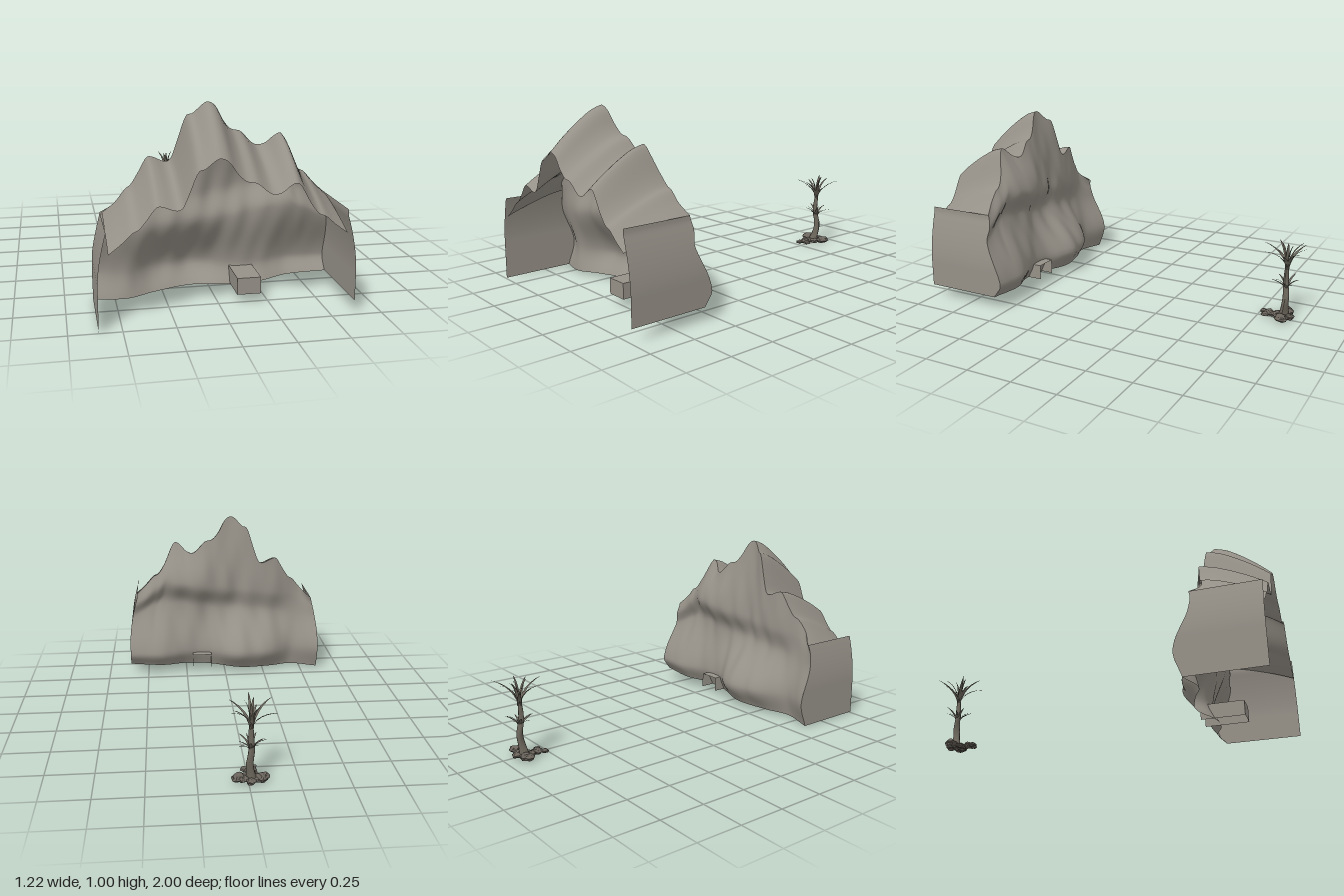
import * as THREE from 'three';

const rockMat = new THREE.MeshStandardMaterial({ color: 0x969188, side: THREE.DoubleSide });
const boulderMat = new THREE.MeshStandardMaterial({ color: 0x6a645c, flatShading: true });
const plantMat = new THREE.MeshStandardMaterial({ color: 0x6c675c, side: THREE.DoubleSide });

// Smooth curve through [x, y] stations
function spline(points) {
  return (x) => {
    const n = points.length - 1;
    if (x <= points[0][0]) return points[0][1];
    if (x >= points[n][0]) return points[n][1];
    let i = 0;
    while (points[i + 1][0] < x) i++;
    const slope = (k) => {
      const a = points[Math.max(k - 1, 0)], b = points[Math.min(k + 1, n)];
      return (b[1] - a[1]) / (b[0] - a[0]);
    };
    const [p, q] = [points[i], points[i + 1]];
    const h = q[0] - p[0], t = (x - p[0]) / h, t2 = t * t, t3 = t2 * t;
    return p[1] * (2 * t3 - 3 * t2 + 1) + slope(i) * h * (t3 - 2 * t2 + t)
      + q[1] * (3 * t2 - 2 * t3) + slope(i + 1) * h * (t3 - t2);
  };
}

// Grid surface from a rule (u, v) -> [x, y, z]
function surface(name, nu, nv, rule, mat) {
  const pos = [], idx = [];
  for (let j = 0; j <= nv; j++) for (let i = 0; i <= nu; i++) pos.push(...rule(i / nu, j / nv));
  for (let j = 0; j < nv; j++) for (let i = 0; i < nu; i++) {
    const a = j * (nu + 1) + i, b = a + 1, c = a + nu + 1, d = c + 1;
    idx.push(a, c, b, b, c, d);
  }
  const geo = new THREE.BufferGeometry();
  geo.setAttribute('position', new THREE.Float32BufferAttribute(pos, 3));
  geo.setIndex(idx);
  geo.computeVertexNormals();
  const mesh = new THREE.Mesh(geo, mat);
  mesh.name = name;
  return mesh;
}

// Skyline height along x
const skyline = spline([[-0.56, 0.47], [-0.5, 0.53], [-0.45, 0.59], [-0.42, 0.61], [-0.38, 0.67], [-0.34, 0.735],
  [-0.31, 0.735], [-0.25, 0.71], [-0.22, 0.725], [-0.19, 0.81], [-0.15, 0.93], [-0.12, 0.945], [-0.07, 0.995],
  [-0.045, 1.003], [-0.01, 0.98], [0.03, 0.91], [0.07, 0.865], [0.12, 0.85], [0.17, 0.8], [0.2, 0.78],
  [0.24, 0.79], [0.28, 0.83], [0.31, 0.843], [0.33, 0.82], [0.38, 0.71], [0.42, 0.65], [0.45, 0.635],
  [0.5, 0.58], [0.56, 0.525]]);
const ground = (x) => 0.038 + 0.05 * x + (x > 0 ? 0.005 : 0.002) * x;

// Depth of the cliff along x at the foot, low bulge, waist, high bulge and ridge
const foot = spline([[-0.61, 0.6], [-0.44, 0.64], [-0.3, 0.59], [-0.1, 0.55], [0.1, 0.61], [0.25, 0.61], [0.4, 0.56], [0.61, 0.57]]);
const low = spline([[-0.61, 0.56], [-0.5, 0.605], [-0.44, 0.62], [-0.38, 0.59], [-0.3, 0.53], [-0.2, 0.51],
  [-0.1, 0.485], [0, 0.515], [0.08, 0.57], [0.15, 0.58], [0.25, 0.57], [0.33, 0.54], [0.41, 0.515], [0.61, 0.525]]);
const waist = spline([[-0.61, 0.63], [-0.45, 0.67], [-0.2, 0.65], [0, 0.66], [0.2, 0.635], [0.4, 0.65], [0.61, 0.61]]);
const high = spline([[-0.6, 0.64], [-0.5, 0.68], [-0.4, 0.66], [-0.3, 0.63], [-0.1, 0.635], [0, 0.615],
  [0.1, 0.59], [0.2, 0.572], [0.3, 0.585], [0.4, 0.61], [0.6, 0.605]]);
const ridge = spline([[-0.56, 0.64], [-0.5, 0.69], [-0.4, 0.665], [-0.25, 0.64], [-0.15, 0.66], [-0.05, 0.7],
  [0.05, 0.67], [0.12, 0.66], [0.2, 0.65], [0.3, 0.7], [0.4, 0.65], [0.5, 0.64], [0.56, 0.62]]);
// The waist climbs from the right to the left
const waistHeight = spline([[-0.6, 0.34], [-0.28, 0.38], [0.06, 0.42], [0.3, 0.46], [0.6, 0.47]]);

// Half width of the rock: upright below, leaning inward above
const halfWidth = (y) => 0.61 - 0.05 * Math.pow(THREE.MathUtils.clamp((y - 0.22) / 0.28, 0, 1), 1.7);

function cliffPoint(u, v) {
  const s = 2 * u - 1, top = skyline(s * 0.56), bottom = ground(s * 0.61);
  const y = bottom + (top - bottom) * v;
  const x = s * halfWidth(y);
  const waistY = Math.min(waistHeight(x), 0.15 + (top - 0.15) * 0.6);
  const highY = Math.min(waistY + 0.14, 0.15 + (top - 0.15) * 0.82);
  const z = spline([[bottom, foot(x)], [0.15, low(x)], [waistY, waist(x)], [highY, high(x)], [top, ridge(s * 0.56)]])(y);
  const ripple = 0.005 * Math.sin(x * 38 + y * 9) + 0.004 * Math.sin(x * 55 - y * 14 + 1);
  return [x, y, z + ripple * Math.sin(v * Math.PI) * (1 - s * s)];
}

// Roof falls forward from the ridge in an arc
const roofDrop = spline([[0, 1], [0.2, 0.98], [0.5, 0.92], [0.8, 0.845], [1, 0.785]]);
function roofPoint(u, v) {
  const x = (2 * u - 1) * 0.56, z0 = ridge(x);
  return [x, skyline(x) * roofDrop(v), z0 + (1 - z0) * v];
}

// Curved blade with a folded middle
function blade(base, angle, reach, rise, width) {
  const c = Math.cos(angle), s = Math.sin(angle);
  return surface('leaf', 2, 6, (u, t) => {
    const r = reach * (0.35 * t + 0.65 * t * t), side = (u - 0.5) * width * Math.pow(1 - t, 0.6);
    const y = rise * (1.55 * t - 0.55 * t * t) + Math.abs(u - 0.5) * width * 0.5 * (1 - t);
    return [base[0] + c * r - s * side, base[1] + y, base[2] + s * r + c * side];
  }, plantMat);
}

function makeBoulder(x, z, r, seed) {
  const geo = new THREE.IcosahedronGeometry(r, 2), p = geo.attributes.position;
  for (let i = 0; i < p.count; i++) {
    const a = p.getX(i) / r, b = p.getY(i) / r, c = p.getZ(i) / r;
    const k = 1 + 0.22 * Math.sin(4 * a + seed) * Math.cos(3 * c + seed * 2) + 0.1 * Math.sin(7 * b + seed);
    p.setXYZ(i, a * r * k, b * r * k * 0.6, c * r * k);
  }
  geo.computeVertexNormals();
  geo.computeBoundingBox();
  const mesh = new THREE.Mesh(geo, boulderMat);
  mesh.position.set(x, -geo.boundingBox.min.y, z);
  mesh.name = 'boulder';
  return mesh;
}

function makePlant() {
  const plant = new THREE.Group();
  plant.name = 'plant';
  // Trunk, flared at the foot
  const trunkX = spline([[0, -0.02], [0.3, -0.006], [0.6, -0.014], [1, -0.012]]);
  const trunkZ = spline([[0, -0.885], [0.4, -0.902], [0.7, -0.893], [1, -0.898]]);
  const trunkR = spline([[0, 0.03], [0.15, 0.021], [0.5, 0.016], [0.85, 0.013], [1, 0.01]]);
  plant.add(surface('trunk', 10, 12, (u, v) => {
    const a = u * Math.PI * 2, r = trunkR(v) * (1 + 0.12 * Math.sin(3 * a + v * 9));
    return [trunkX(v) + r * Math.cos(a), 0.01 + v * 0.29, trunkZ(v) + r * Math.sin(a)];
  }, plantMat));
  // Crown leaves: [angle, reach, rise], wide ones then upright ones
  [[-0.75, 0.145, 0.13], [0.75, 0.145, 0.12], [2.5, 0.135, 0.13], [-2.7, 0.15, 0.11], [1.55, 0.135, 0.14],
    [-1.6, 0.105, 0.13], [0.05, 0.09, 0.1], [2.0, 0.08, 0.1], [-2.1, 0.09, 0.15], [-0.3, 0.04, 0.16],
    [1.9, 0.045, 0.15], [-1.4, 0.035, 0.15]]
    .forEach(([a, reach, rise]) => plant.add(blade([-0.012, 0.28, -0.898], a, reach, rise, 0.024)));
  // Smaller tuft halfway up
  for (let i = 0; i < 9; i++) {
    plant.add(blade([-0.011, 0.16, -0.898], i * 0.7, 0.065 + 0.012 * (i % 3), 0.06 + 0.02 * (i % 2), 0.02));
  }
  // Rocks around the foot
  [[-0.07, -0.895, 0.034], [0.05, -0.895, 0.033], [-0.035, -0.855, 0.024], [0.01, -0.865, 0.024], [-0.02, -0.81, 0.026],
    [0.01, -0.795, 0.019], [-0.035, -0.775, 0.02], [-0.01, -0.925, 0.025], [0.025, -0.9, 0.025], [-0.045, -0.9, 0.025],
    [-0.015, -0.835, 0.022]]
    .forEach(([x, z, r], i) => plant.add(makeBoulder(x, z, r, i * 1.7 + 1)));
  return plant;
}

export function createModel() {
  const model = new THREE.Group();
  model.name = 'cliffAndPlant';
  model.add(surface('cliffFace', 100, 44, cliffPoint, rockMat));
  model.add(surface('roof', 100, 10, roofPoint, rockMat));

  // Side walls running forward from the cliff edges, flat along the top
  for (const side of [0, 1]) {
    model.add(surface(side ? 'leftWall' : 'rightWall', 4, 30, (u, v) => {
      const [x, y, z] = cliffPoint(side, v);
      return [x, y, z + (1 - z) * u];
    }, rockMat));
  }

  // Small niche through the foot of the cliff, open below and at the rear
  const niche = new THREE.Group();
  niche.name = 'niche';
  const panel = (name, w, h, x, y, z, rx, ry) => {
    const mesh = new THREE.Mesh(new THREE.PlaneGeometry(w, h), rockMat);
    mesh.name = name;
    mesh.position.set(x, y, z);
    mesh.rotation.set(rx, ry, 0);
    niche.add(mesh);
  };
  panel('nicheEnd', 0.12, 0.085, 0.15, 0.09, 0.77, 0, 0);
  panel('nicheTop', 0.12, 0.24, 0.15, 0.1325, 0.65, -Math.PI / 2, 0);
  for (const x of [0.09, 0.21]) panel('nicheSide', 0.24, 0.085, x, 0.09, 0.65, 0, Math.PI / 2);
  model.add(niche);

  model.add(makePlant());
  return model;
}
